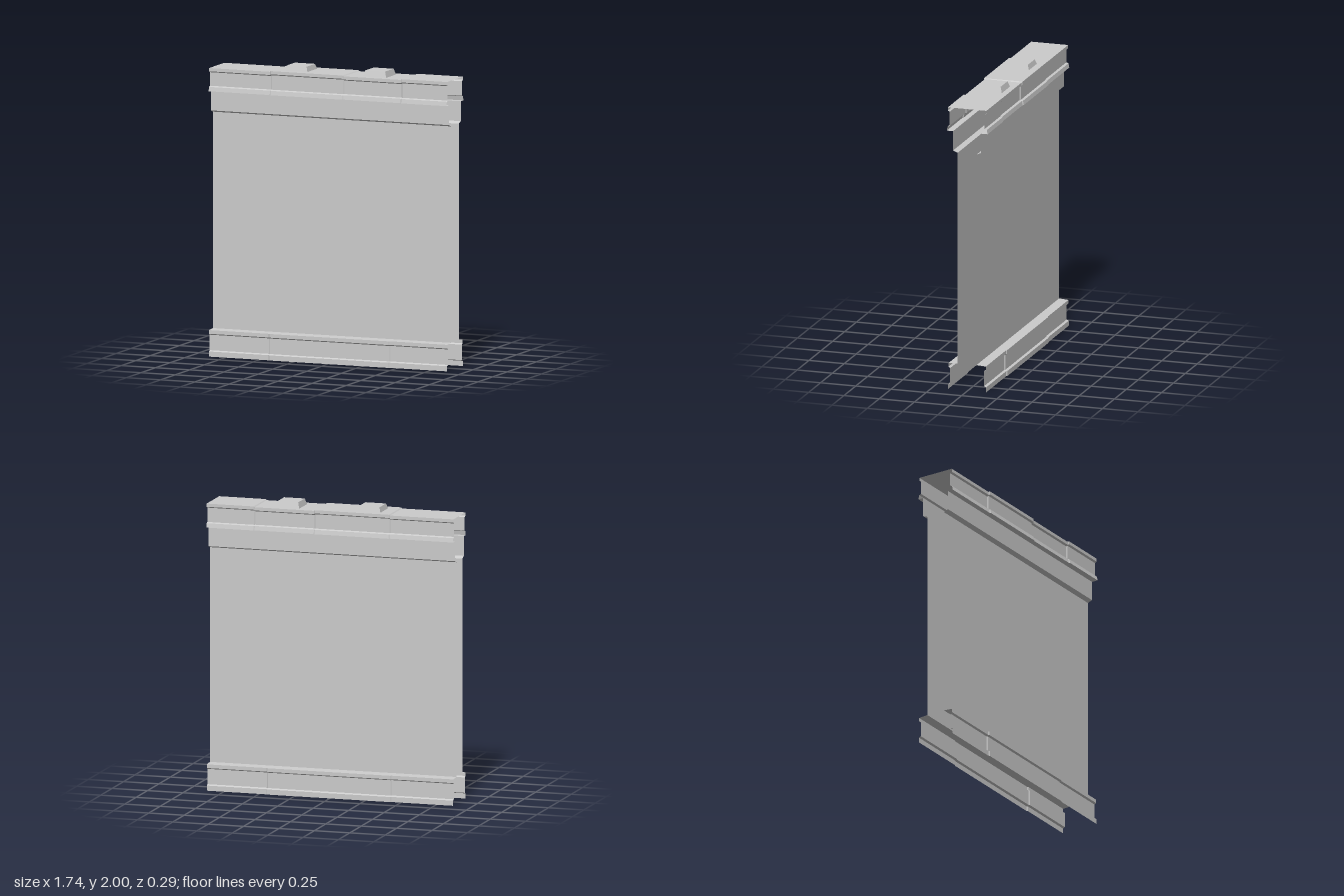
import * as THREE from 'three';

const HALF = 0.87;   // half the wall length
const MID = 0.004;   // depth of the centre plane

const material = new THREE.MeshStandardMaterial({
  color: 0xcccccc, flatShading: true, side: THREE.DoubleSide,
});

// Sweeps a profile of [z, y, zPush, yPush] along x; each station is [x, offset].
function sweep(name, profile, stations) {
  const pos = [], index = [], n = profile.length;
  for (const [x, d] of stations) {
    for (const [z, y, pz = 0, py = 0] of profile) pos.push(x, y + py * d, z + MID + pz * d);
  }
  for (let i = 0; i < stations.length - 1; i++) {
    for (let j = 0; j < n - 1; j++) {
      const a = i * n + j, b = a + n;
      index.push(a, b, b + 1, a, b + 1, a + 1);
    }
  }
  const geometry = new THREE.BufferGeometry();
  geometry.setAttribute('position', new THREE.Float32BufferAttribute(pos, 3));
  geometry.setIndex(index);
  const flat = geometry.toNonIndexed();
  flat.computeVertexNormals();
  const mesh = new THREE.Mesh(flat, material);
  mesh.name = name;
  return mesh;
}

// Turns plate breaks into stations with a narrow bevel between neighbours.
function plates(breaks, offsets) {
  const out = [[-HALF, offsets[0]]];
  breaks.forEach((x, i) => out.push([x - 0.004, offsets[i]], [x + 0.004, offsets[i + 1]]));
  out.push([HALF, offsets[offsets.length - 1]]);
  return out;
}

const mirror = (profile) => profile.map(([z, y, pz = 0, py = 0]) => [-z, y, -pz, py]);

// Low block with a bevelled rim
function cap(x) {
  const geometry = new THREE.CylinderGeometry(0.073 * Math.SQRT2, 0.087 * Math.SQRT2, 0.045, 4);
  geometry.rotateY(Math.PI / 4);
  const mesh = new THREE.Mesh(geometry, material);
  mesh.position.set(x, 1.9775, 0.001);
  mesh.name = 'topCap';
  return mesh;
}

export function createModel() {
  const group = new THREE.Group();
  group.name = 'wallSection';

  // Half profiles, front side, listed upward
  const skirt = [
    [0.135, 0, 1], [0.135, 0.035, 1], [0.12, 0.042, 1], [0.12, 0.147, 1],
    [0.133, 0.155, 1], [0.133, 0.18, 1], [0.067, 0.185],
  ];
  const panel = [[0.067, 0.185], [0.067, 1.655]];
  const frieze = [[0.067, 1.655], [0.1, 1.668], [0.1, 1.803]];
  const cornice = [
    [0.1, 1.803], [0.139, 1.803, 1], [0.133, 1.832, 1], [0.118, 1.838, 1],
    [0.118, 1.93, 1, 1], [0.131, 1.938, 1, 1], [0.131, 1.96, 1, 1],
  ];

  const straight = plates([], [0]);
  const skirtPlates = plates([-0.43, 0.445], [0, 0.006, 0]);
  const topPlates = plates([-0.42, 0.11, 0.535], [0, 0.006, 0, 0.006]);

  // Front and back walls
  for (const [side, shape] of [['front', (p) => p], ['back', mirror]]) {
    group.add(sweep(side + 'Skirt', shape(skirt), skirtPlates));
    group.add(sweep(side + 'Panel', shape(panel), straight));
    group.add(sweep(side + 'Frieze', shape(frieze), straight));
    group.add(sweep(side + 'Cornice', shape(cornice), topPlates));
  }

  // Roof strip joining both cornices
  group.add(sweep('roof', [[0.131, 1.96, 1, 1], [-0.131, 1.96, -1, 1]], topPlates));

  group.add(cap(-0.257), cap(0.317));
  return group;
}
